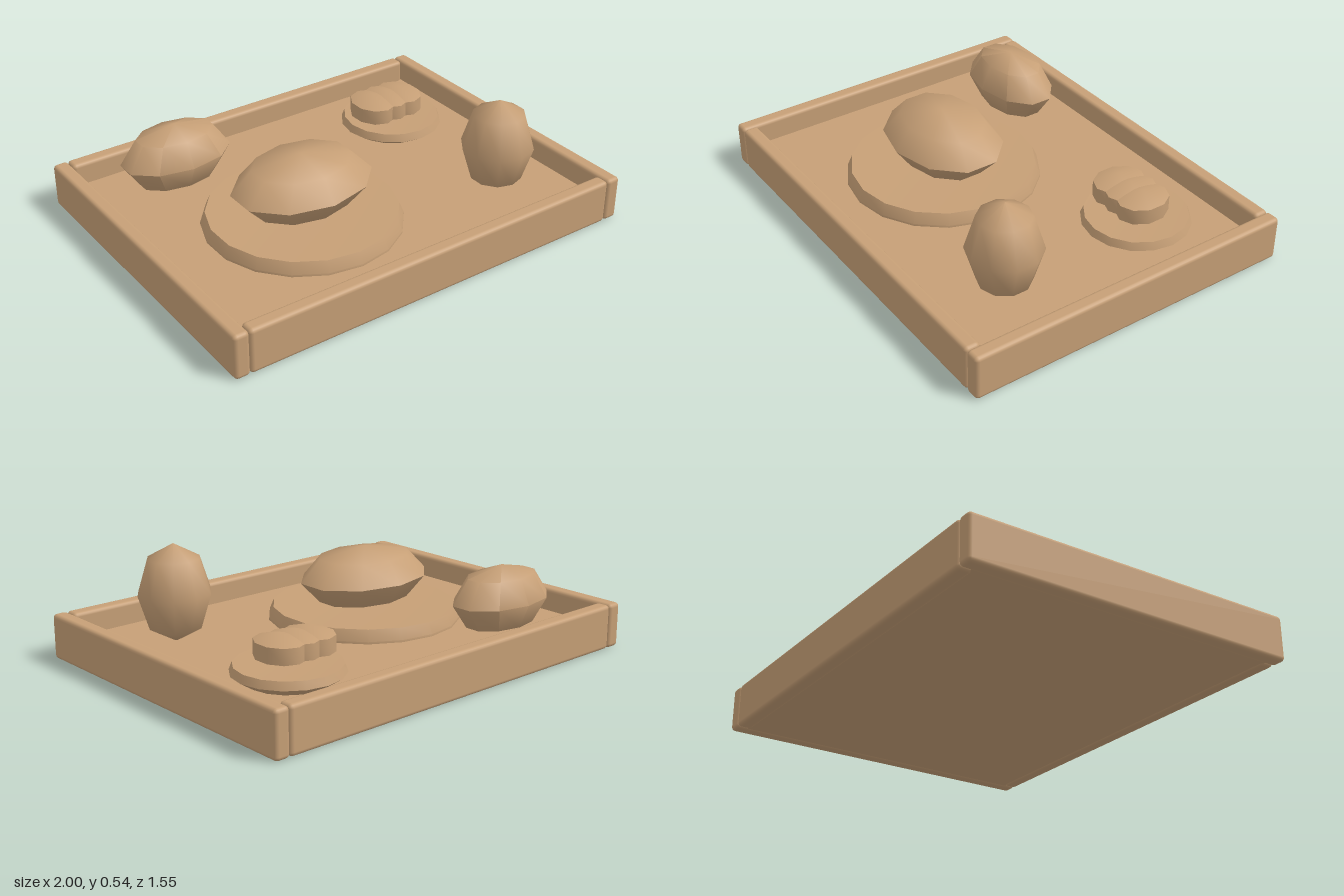
import * as THREE from 'three';
import { toCreasedNormals } from 'three/addons/utils/BufferGeometryUtils.js';
import { RoundedBoxGeometry } from 'three/addons/geometries/RoundedBoxGeometry.js';

const CREASE = 0.9;

export function createModel() {
  const model = new THREE.Group();
  model.name = 'foodTray';
  const clay = new THREE.MeshStandardMaterial({ color: 0xc69f76 });
  clay.name = 'warm tan';

  const add = (name, geometry, x, y, z) => {
    const mesh = new THREE.Mesh(geometry, clay);
    mesh.name = name;
    mesh.position.set(x, y, z);
    model.add(mesh);
    return mesh;
  };

  // Coarse ten-sided ellipsoid with corners pointing along z
  const blob = (rx, ry, rz, rings) => {
    const g = new THREE.SphereGeometry(1, 10, rings, Math.PI / 2);
    g.scale(rx, ry, rz);
    return toCreasedNormals(g, CREASE);
  };

  // Round dish from a profile of [radius, height] points, bottom to top
  const dish = (profile, sides) => toCreasedNormals(
    new THREE.LatheGeometry(profile.map(([r, y]) => new THREE.Vector2(r, y)), sides), 0.5);

  // Tray floor and four bevelled walls
  add('trayFloor', new THREE.BoxGeometry(1.88, 0.095, 1.44), 0, 0.0525, 0);
  for (const s of [-1, 1]) {
    add(s > 0 ? 'leftWall' : 'rightWall',
      new RoundedBoxGeometry(0.07, 0.205, 1.55, 2, 0.018), s * 0.965, 0.1025, 0);
    add(s > 0 ? 'frontWall' : 'backWall',
      new RoundedBoxGeometry(1.86, 0.205, 0.07, 2, 0.018), 0, 0.1025, s * 0.74);
  }

  // Large plate with a loaf on it
  add('largePlate', dish([[0, 0.095], [0.443, 0.095], [0.443, 0.11], [0.422, 0.16], [0, 0.145]], 18),
    -0.245, 0, 0.11);
  add('loaf', blob(0.331, 0.14, 0.243, 4), -0.245, 0.29, 0.11);

  // Bread roll and egg resting on the floor
  add('breadRoll', blob(0.266, 0.155, 0.165, 4), -0.535, 0.25, -0.47);
  add('egg', blob(0.166, 0.22, 0.164, 4), 0.62, 0.315, 0.38);

  // Small dish with a row of overlapping slices
  add('smallDish', dish([[0, 0.095], [0.17, 0.095], [0.241, 0.14], [0.228, 0.175], [0, 0.165]], 16),
    0.58, 0, -0.34);
  for (let i = 0; i < 3; i++) {
    add('slice' + (i + 1), blob(0.115, 0.07, 0.141, 3), 0.465 + i * 0.0775, 0.24, -0.335);
  }

  return model;
}
